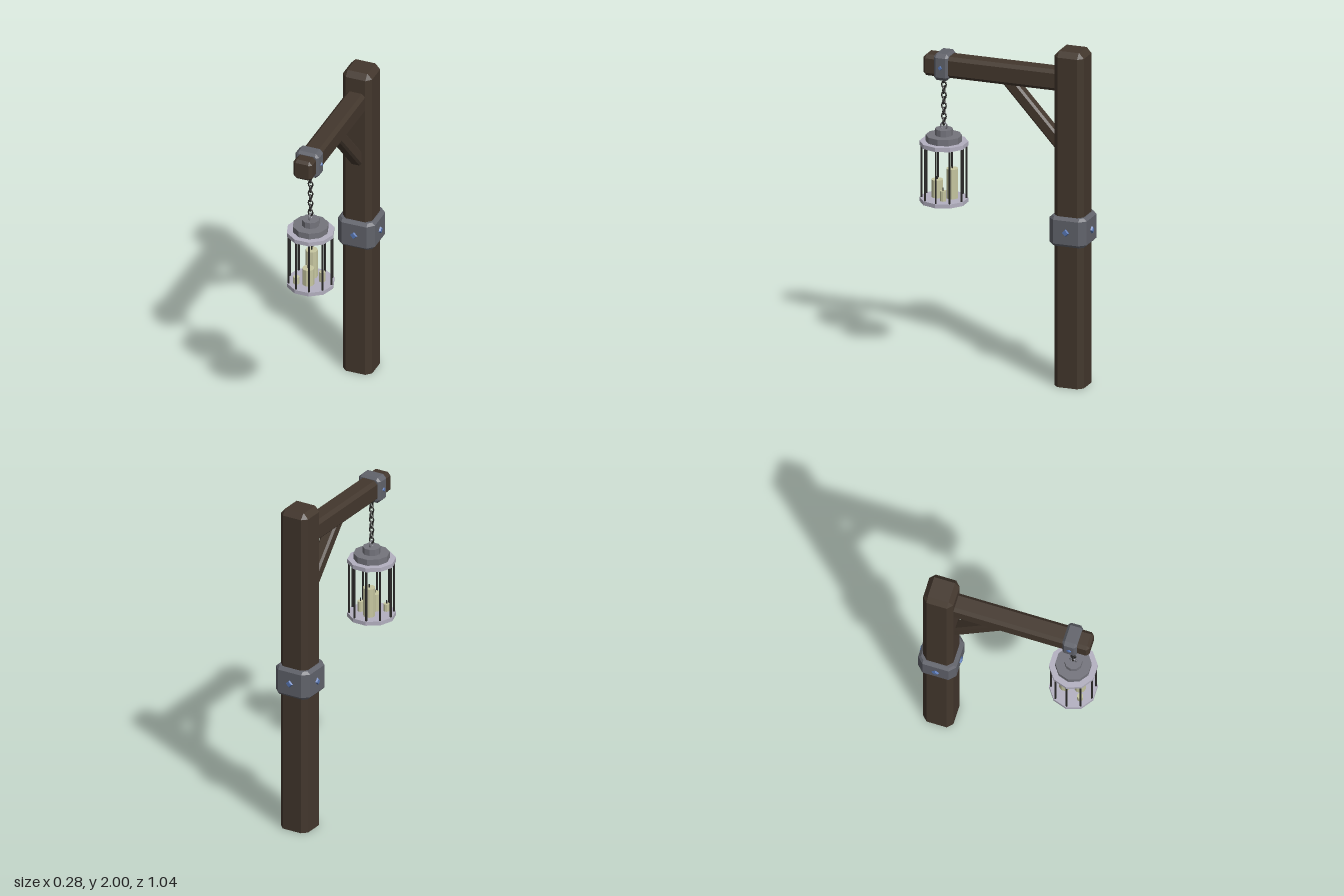
import * as THREE from 'three';
import { ConvexGeometry } from 'three/addons/geometries/ConvexGeometry.js';

const mat = (color) => new THREE.MeshStandardMaterial({ color, flatShading: true });

// Chamfered bar along y; rings are [height, inset] pairs
function barGeometry(a, b, c, rings) {
  const points = [];
  for (const [y, inset] of rings)
    for (const sx of [-1, 1])
      for (const sz of [-1, 1]) {
        points.push(new THREE.Vector3(sx * (a - inset), y, sz * (b - c)));
        points.push(new THREE.Vector3(sx * (a - c), y, sz * (b - inset)));
      }
  return new ConvexGeometry(points);
}

// Bar with a bevel at both ends, centred on the origin
const bevelBar = (a, b, c, length, bevel) => barGeometry(a, b, c, [
  [-length / 2, bevel], [-length / 2 + bevel, 0], [length / 2 - bevel, 0], [length / 2, bevel],
]);

export function createModel() {
  const model = new THREE.Group();
  model.name = 'lanternPost';
  const wood = mat(0x43372d), iron = mat(0x61636b), blue = mat(0x5676b4);
  const pale = mat(0xb3b0c0), steel = mat(0x74747c), dark = mat(0x2b2a29);
  const wax = mat(0xc6c6a0);

  const add = (parent, name, geometry, material, x = 0, y = 0, z = 0) => {
    const mesh = new THREE.Mesh(geometry, material);
    mesh.name = name;
    mesh.position.set(x, y, z);
    parent.add(mesh);
    return mesh;
  };

  // Diamond stud facing sideways at the given turn about y
  const addStud = (name, cx, y, cz, reach, turn, size) => {
    const geometry = new THREE.CylinderGeometry(size * 0.6, size, 0.02, 4);
    geometry.rotateX(Math.PI / 2);
    const stud = add(model, name, geometry, blue,
      cx + Math.sin(turn) * reach, y, cz + Math.cos(turn) * reach);
    stud.rotation.y = turn;
  };

  // Post and its collar
  const px = -0.009, pz = -0.397;
  add(model, 'post', barGeometry(0.09, 0.09, 0.03, [[0, 0], [1.968, 0], [2, 0.028]]), wood, px, 0, pz);
  add(model, 'collar', bevelBar(0.114, 0.114, 0.037, 0.176, 0.017), iron, px, 0.934, pz);
  for (let i = 0; i < 4; i++) addStud('collarStud', px, 0.934, pz, 0.114, i * Math.PI / 2, 0.028);

  // Arm reaching forward, with its iron band
  const arm = add(model, 'arm', bevelBar(0.058, 0.063, 0.02, 0.857, 0.016), wood, -0.008, 1.815, 0.0685);
  arm.rotation.x = Math.PI / 2;
  const band = add(model, 'armBand', bevelBar(0.073, 0.08, 0.022, 0.086, 0.014), iron, -0.008, 1.815, 0.384);
  band.rotation.x = Math.PI / 2;
  for (const s of [-1, 1]) addStud('bandStud', -0.008, 1.815, 0.384, 0.07, s * Math.PI / 2, 0.018);

  // Diagonal brace, ends buried in the arm and post
  const low = new THREE.Vector3(-0.008, 1.395, -0.355), high = new THREE.Vector3(-0.008, 1.8, 0.015);
  const along = high.clone().sub(low);
  const mid = low.clone().add(high).multiplyScalar(0.5);
  const brace = add(model, 'brace', bevelBar(0.036, 0.036, 0.012, along.length(), 0.01), wood, mid.x, mid.y, mid.z);
  brace.quaternion.setFromUnitVectors(new THREE.Vector3(0, 1, 0), along.normalize());

  // Hanging lantern
  const lantern = new THREE.Group();
  lantern.name = 'lantern';
  lantern.position.set(0, 1, 0.386);
  model.add(lantern);

  const addDisc = (name, r, y0, y1, material) => {
    const geometry = new THREE.CylinderGeometry(r, r, y1 - y0, 10);
    geometry.rotateY(Math.PI / 10);
    add(lantern, name, geometry, material, 0, (y0 + y1) / 2, 0);
  };
  addDisc('basePlate', 0.139, 0, 0.024, pale);
  addDisc('topPlate', 0.139, 0.336, 0.361, pale);
  addDisc('lowerCap', 0.104, 0.361, 0.398, steel);
  addDisc('upperCap', 0.051, 0.398, 0.436, steel);

  // Cage bars
  const barShape = new THREE.CylinderGeometry(0.006, 0.006, 0.316, 6);
  for (let i = 0; i < 10; i++) {
    const t = i * Math.PI / 5;
    add(lantern, 'cageBar', barShape, dark, Math.cos(t) * 0.128, 0.18, Math.sin(t) * 0.128);
  }

  // Candles: x, z, radius, top
  for (const [x, z, r, top] of [
    [-0.012, -0.046, 0.035, 0.2], [0.002, 0.039, 0.034, 0.129],
    [0.063, -0.019, 0.018, 0.085], [-0.063, 0.06, 0.018, 0.068],
  ]) {
    add(lantern, 'candle', new THREE.CylinderGeometry(r, r, top - 0.02, 10), wax, x, (top + 0.02) / 2, z);
    add(lantern, 'wick', new THREE.CylinderGeometry(0.004, 0.004, 0.022, 5), dark, x, top + 0.008, z);
  }

  // Hanging ring and chain of alternating links
  const ring = add(lantern, 'hangingRing', new THREE.TorusGeometry(0.02, 0.005, 6, 12), steel, 0, 0.45, 0);
  ring.rotation.y = Math.PI / 2;
  const linkShape = new THREE.TorusGeometry(0.015, 0.005, 6, 10);
  linkShape.scale(0.9, 1.3, 1);
  for (let i = 0; i < 9; i++) {
    const link = add(lantern, 'chainLink', linkShape, dark, 0, 0.478 + i * 0.0315, 0);
    link.rotation.y = i % 2 ? Math.PI / 2 : 0;
  }
  return model;
}
